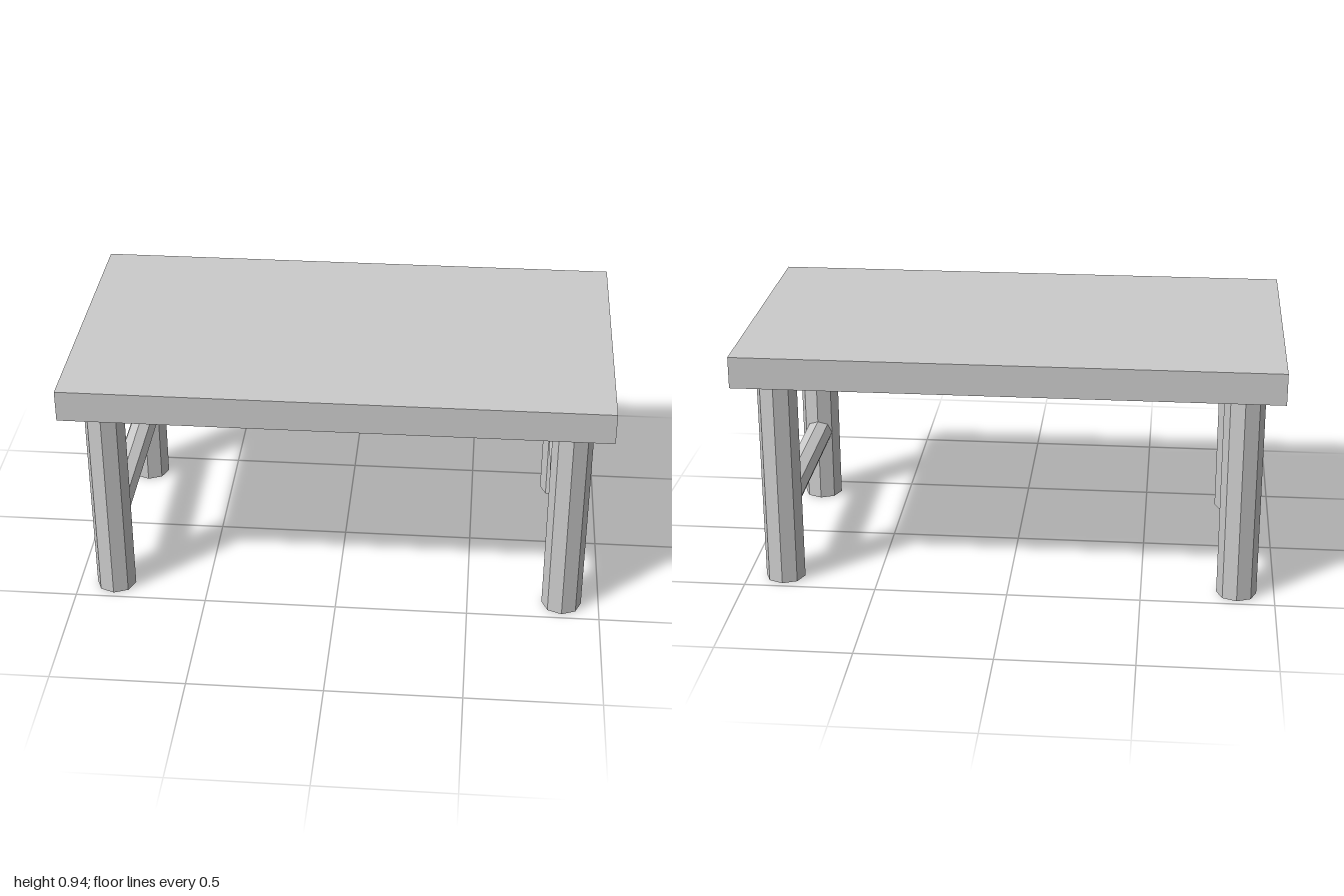
import * as THREE from 'three';

const TOP_Y = 0.935, UNDER_Y = 0.817, DEPTH = 1.108;
const LEG_X = 0.859, LEG_Z = 0.402, LEG_R = 0.075;
const RAIL_Y = 0.288, RAIL_R = 0.053;

export function createModel() {
  const group = new THREE.Group();
  const solid = new THREE.MeshStandardMaterial({ color: 0xcccccc, flatShading: true });
  const open = new THREE.MeshStandardMaterial({ color: 0xcccccc, flatShading: true, side: THREE.DoubleSide });

  const add = (name, geometry, material, x, y, z) => {
    const mesh = new THREE.Mesh(geometry, material);
    mesh.name = name;
    mesh.position.set(x, y, z);
    group.add(mesh);
  };

  // Slab top
  add('tableTop', new THREE.BoxGeometry(2, TOP_Y - UNDER_Y, DEPTH), solid, 0, (TOP_Y + UNDER_Y) / 2, 0);

  // Octagonal tubes, open at the ends
  const legGeometry = new THREE.CylinderGeometry(LEG_R, LEG_R, UNDER_Y, 8, 1, true);
  const railGeometry = new THREE.CylinderGeometry(RAIL_R, RAIL_R, 2 * LEG_Z, 8, 1, true).rotateX(Math.PI / 2);

  for (const [side, sx] of [['left', 1], ['right', -1]]) {
    for (const [end, sz] of [['Front', 1], ['Back', -1]]) {
      add(`${side}${end}Leg`, legGeometry, open, sx * LEG_X, UNDER_Y / 2, sz * LEG_Z);
    }
    // Rail joining the front and back legs
    add(`${side}Stretcher`, railGeometry, open, sx * LEG_X, RAIL_Y, 0);
  }
  return group;
}
